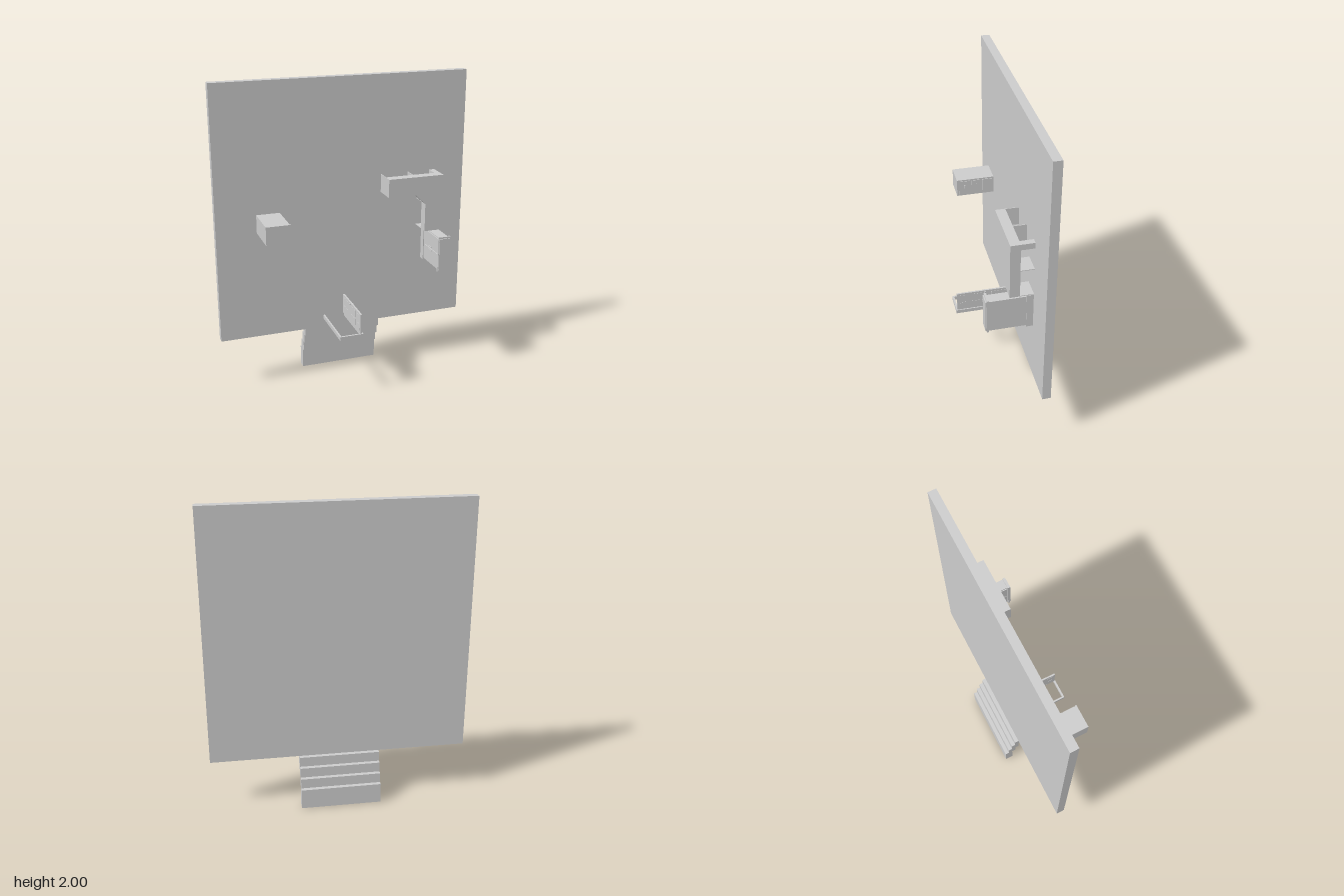
import * as THREE from 'three';

const mat = new THREE.MeshStandardMaterial({ color: 0xcccccc, flatShading: true });

// Box given by its limits along each axis
function box(parent, name, [x0, x1], [y0, y1], [z0, z1]) {
  const mesh = new THREE.Mesh(new THREE.BoxGeometry(x1 - x0, y1 - y0, z1 - z0), mat);
  mesh.position.set((x0 + x1) / 2, (y0 + y1) / 2, (z0 + z1) / 2);
  mesh.name = name;
  parent.add(mesh);
  return mesh;
}

function group(parent, name) {
  const g = new THREE.Group();
  g.name = name;
  parent.add(g);
  return g;
}

const BASE = -0.092; // underside of the furniture

// Four steps descending behind the slab
function addSteps(root) {
  const g = group(root, 'steps');
  for (let i = 0; i < 4; i++) {
    const top = 0.333 - i * 0.066;
    const z = -0.133 - i * 0.0258;
    box(g, 'step', [-0.262, 0.259], [i === 3 ? 0 : top - 0.066, top], [z - 0.052, z]);
  }
}

// Open panelled door in its frame
function addDoor(root) {
  const g = group(root, 'door');
  const y = [0.4, 0.425];
  box(g, 'leftPost', [-0.003, 0.008], y, [BASE, 0.25]);
  box(g, 'rightPost', [-0.148, -0.137], y, [BASE, 0.25]);
  box(g, 'lintel', [-0.148, 0.008], y, [0.25, 0.262]);
  box(g, 'leaf', [-0.01, 0.001], [0.425, 0.557], [BASE, 0.255]);
  for (const [z0, z1] of [[-0.08, 0.022], [0.05, 0.155], [0.19, 0.235]])
    for (const y0 of [0.44, 0.498])
      box(g, 'doorPanel', [-0.0115, 0.0025], [y0, y0 + 0.044], [z0, z1]);
  for (const x of [-0.016, 0.007]) {
    const knob = new THREE.Mesh(new THREE.SphereGeometry(0.005, 10, 8), mat);
    knob.position.set(x, 0.55, 0.064);
    knob.name = 'knob';
    g.add(knob);
  }
}

// Drawer cabinet opening towards +x
function addCabinet(root) {
  const g = group(root, 'drawerCabinet');
  box(g, 'cabinetBody', [-0.578, -0.427], [1.052, 1.17], [BASE, 0.153]);
  box(g, 'cabinetTop', [-0.578, -0.422], [1.052, 1.17], [0.148, 0.157]);
  for (const [z0, z1] of [[-0.085, -0.015], [-0.005, 0.06], [0.07, 0.14]]) {
    box(g, 'drawerFront', [-0.43, -0.423], [1.062, 1.16], [z0, z1]);
    const mid = (z0 + z1) / 2;
    box(g, 'drawerHandle', [-0.424, -0.419], [1.09, 1.132], [mid - 0.004, mid + 0.004]);
  }
}

// Corner desk: L-shaped top on thin panels and a corner post
function addDesk(root) {
  const g = group(root, 'cornerDesk');
  const outline = [[0.25, 1.36], [0.25, 1.24], [0.435, 1.24], [0.503, 1.175],
    [0.503, 0.99], [0.625, 0.99], [0.625, 1.36]].map(p => new THREE.Vector2(...p));
  const top = new THREE.Mesh(new THREE.ExtrudeGeometry(new THREE.Shape(outline),
    { depth: 0.062, bevelEnabled: false }), mat);
  top.position.z = -0.008;
  top.name = 'deskTop';
  g.add(top);
  const z = [BASE, -0.008];
  for (const x of [0.25, 0.435]) box(g, 'deskPanel', [x, x + 0.004], [1.24, 1.36], z);
  for (const y of [0.99, 1.173]) box(g, 'deskPanel', [0.503, 0.625], [y, y + 0.004], z);
  box(g, 'cornerPost', [0.587, 0.625], [1.322, 1.36], z);
}

// Tall wardrobe with plinth and crown, opening towards -x
function addWardrobe(root) {
  const g = group(root, 'wardrobe');
  box(g, 'wardrobeBody', [0.552, 0.62], [0.758, 0.977], [-0.052, 0.176]);
  box(g, 'plinth', [0.543, 0.624], [0.75, 0.986], [BASE, -0.05]);
  box(g, 'crown', [0.543, 0.624], [0.75, 0.986], [0.176, 0.19]);
  box(g, 'crownCap', [0.547, 0.62], [0.76, 0.975], [0.19, 0.197]);
  for (const side of [-1, 1]) {
    const mid = 0.868 + side * 0.053;
    box(g, 'wardrobeDoor', [0.546, 0.553], [mid - 0.05, mid + 0.05], [-0.045, 0.17]);
    const y = 0.868 + side * 0.012;
    box(g, 'doorHandle', [0.542, 0.547], [y - 0.003, y + 0.003], [0.04, 0.08]);
  }
}

export function createModel() {
  const root = new THREE.Group();
  root.name = 'roomLayout';
  // Large floor slab standing upright
  box(root, 'floorSlab', [-0.835, 0.835], [0.333, 2], [-0.159, -0.105]);
  addSteps(root);
  addDoor(root);
  addCabinet(root);
  addDesk(root);
  addWardrobe(root);
  return root;
}
